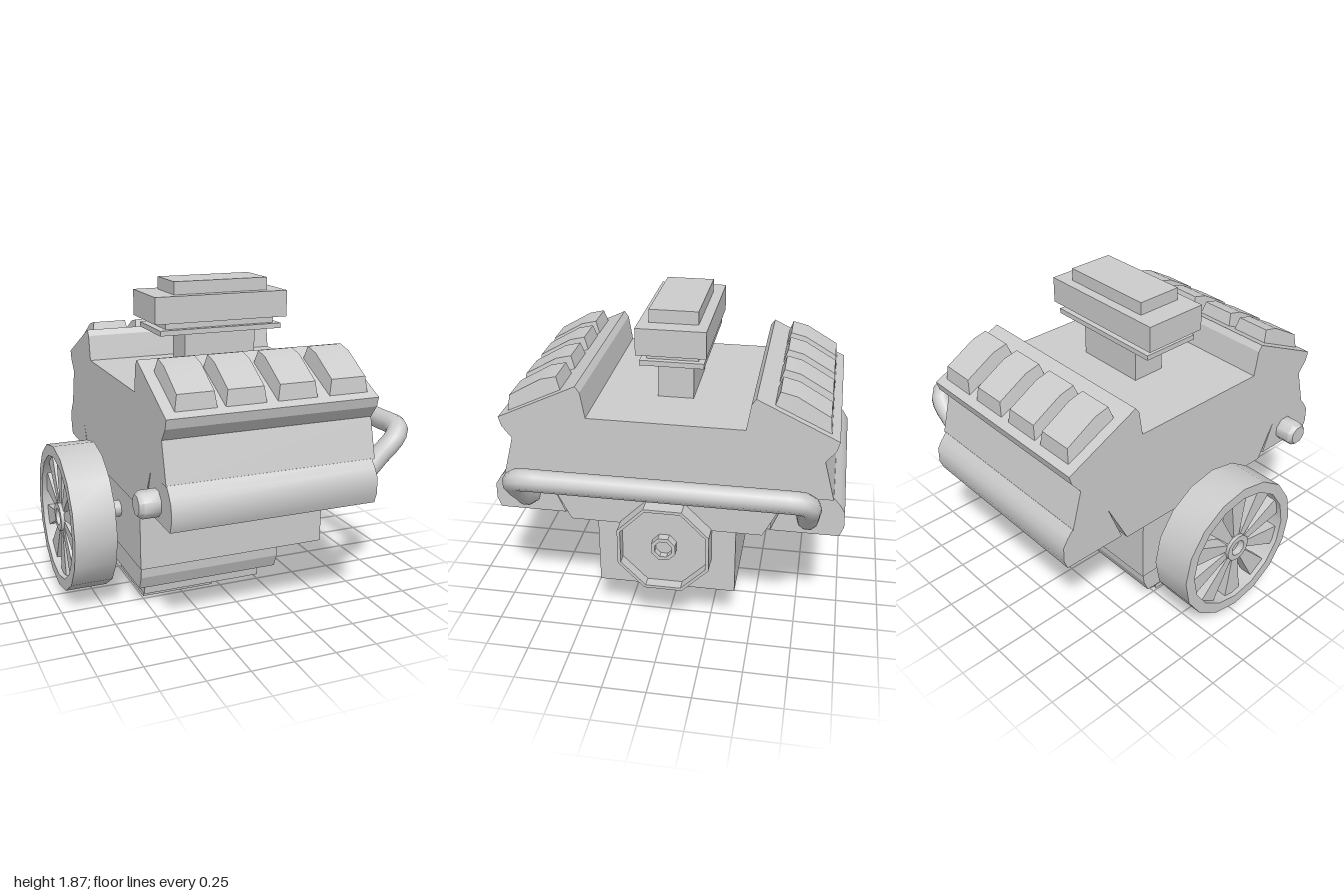
import * as THREE from 'three';
import { toCreasedNormals } from 'three/addons/utils/BufferGeometryUtils.js';

const material = new THREE.MeshStandardMaterial({ color: 0xcccccc });

function add(parent, name, geometry, crease = 0.6) {
  const mesh = new THREE.Mesh(toCreasedNormals(geometry, crease), material);
  mesh.name = name;
  parent.add(mesh);
  return mesh;
}

// Prism along x from a [z, y] outline
function prismX(outline, x0, x1) {
  const shape = new THREE.Shape(outline.map(([z, y]) => new THREE.Vector2(-z, y)));
  const geometry = new THREE.ExtrudeGeometry(shape, { depth: x1 - x0, bevelEnabled: false });
  return geometry.rotateY(Math.PI / 2).translate(x0, 0, 0);
}

// Outline symmetric about z = 0, given its +z half
const mirrored = (half) => [...half, ...half.map(([z, y]) => [-z, y]).reverse()];

// Turned part around the x axis from a [radius, x] profile
function turnedX(profile, sides, y, z, phase = 0) {
  const points = profile.map(([r, x]) => new THREE.Vector2(r, x));
  return new THREE.LatheGeometry(points, sides, phase).rotateZ(-Math.PI / 2).translate(0, y, z);
}

function box(x0, x1, y0, y1, halfZ) {
  return new THREE.BoxGeometry(x1 - x0, y1 - y0, halfZ * 2)
    .translate((x0 + x1) / 2, (y0 + y1) / 2, 0);
}

// Tapered bump lying on the sloping head cover
function bumpGeometry() {
  const top = [[0.61, 1.54], [0.70, 1.518], [0.885, 1.41]];
  const base = [[0.58, 1.45], [0.72, 1.38], [0.895, 1.30]];
  const geometry = new THREE.BoxGeometry(0.24, 1, 2, 1, 1, 2);
  const p = geometry.attributes.position;
  for (let i = 0; i < p.count; i++) {
    const up = p.getY(i) > 0;
    const [z, y] = (up ? top : base)[Math.round(p.getZ(i) + 1)];
    p.setXYZ(i, p.getX(i) * (up ? 0.86 : 1), y, z);
  }
  return geometry;
}

export function createModel() {
  const model = new THREE.Group();
  model.name = 'engine';

  // V-shaped upper body with both cylinder heads
  add(model, 'upperBody', prismX(mirrored([
    [0.55, 0.68], [0.685, 0.945], [0.93, 0.945], [0.87, 1.175], [0.925, 1.245],
    [0.94, 1.30], [0.49, 1.515], [0.465, 1.48], [0.44, 1.33],
  ]), -0.59, 0.635), 0.3);

  // Crankcase and stepped oil pan
  add(model, 'crankcase', box(-0.56, 0.61, 0.26, 0.69, 0.4));
  add(model, 'oilPan', prismX(mirrored([[0.35, 0.12], [0.385, 0.2], [0.39, 0.26]]), -0.555, 0.32), 0.2);
  add(model, 'oilPanStep', prismX(mirrored([[0.275, 0.04], [0.285, 0.12]]), -0.5, 0.24));
  add(model, 'oilPanBase', prismX(mirrored([[0.22, 0], [0.228, 0.04]]), -0.49, -0.045));

  // Exhaust manifolds and head cover bumps on both banks
  const manifold = [[0.59, 0.71], [0.975, 0.71], [0.998, 0.77], [0.996, 0.86],
    [0.965, 0.91], [0.93, 0.95], [0.685, 0.945], [0.61, 0.76]];
  for (const side of [1, -1]) {
    add(model, 'exhaustManifold',
      prismX(manifold.map(([z, y]) => [z * side, y]), -0.588, 0.617));
    for (const x of [-0.41, -0.13, 0.168, 0.473]) {
      const bump = add(model, 'headCoverBump', bumpGeometry(), 0.5);
      bump.position.x = x;
      bump.rotation.y = side > 0 ? 0 : Math.PI;
    }
  }

  // Intake and air filter stack
  const intake = new THREE.Group();
  intake.name = 'airIntake';
  model.add(intake);
  add(intake, 'intakeStem', box(-0.165, 0.28, 1.32, 1.57, 0.103));
  add(intake, 'intakeFlange', box(-0.345, 0.415, 1.57, 1.6, 0.18));
  add(intake, 'filterNeck', box(-0.3, 0.38, 1.6, 1.64, 0.145));
  add(intake, 'filterBox', box(-0.38, 0.445, 1.64, 1.795, 0.196));
  add(intake, 'filterLid', box(-0.245, 0.34, 1.795, 1.87, 0.138));

  // Fan wheel: rim, hub, blades and shaft
  const fan = new THREE.Group();
  fan.name = 'fan';
  fan.position.y = 0.5;
  model.add(fan);
  add(fan, 'fanRim', turnedX([[0.37, -0.95], [0.437, -0.95], [0.437, -0.705],
    [0.37, -0.705], [0.37, -0.95]], 16, 0, 0));
  add(fan, 'fanHub', turnedX([[0, -0.9], [0.05, -0.9], [0.05, -0.94], [0.085, -0.94],
    [0.085, -0.75], [0, -0.75]], 12, 0, 0));
  add(fan, 'fanShaft', turnedX([[0.05, -0.8], [0.05, -0.55]], 10, 0, 0), 0.8);
  const blades = 10;
  for (let i = 0; i < blades; i++) {
    const blade = add(fan, 'fanBlade', prismX(
      [[-0.02, 0.07], [0.02, 0.07], [0.065, 0.385], [-0.065, 0.385]], -0.92, -0.84));
    blade.rotation.x = (i / blades) * Math.PI * 2;
  }

  // Octagonal flywheel cup with a small ring at its centre
  add(model, 'flywheel', turnedX([[0.284, 0.6], [0.284, 0.735], [0.265, 0.735],
    [0.265, 0.67], [0.075, 0.67], [0.075, 0.72], [0.052, 0.72], [0.052, 0.68], [0, 0.68]],
  8, 0.58, 0, Math.PI / 8));

  // Exhaust outlet stub
  add(model, 'outletStub', turnedX([[0, -0.705], [0.058, -0.705], [0.077, -0.68],
    [0.077, -0.58]].map((p) => p), 8, 0.812, 0.78, Math.PI / 8), 0.8);

  // Crossover pipe joining both manifolds
  const half = [[0.59, 0.81, 0.795], [0.66, 0.83, 0.797], [0.75, 0.92, 0.802],
    [0.825, 0.995, 0.808], [0.87, 1.045, 0.785], [0.888, 1.06, 0.72], [0.888, 1.06, 0.6]];
  const path = [...half, ...half.map(([x, y, z]) => [x, y, -z]).reverse()]
    .map((p) => new THREE.Vector3(...p));
  add(model, 'crossoverPipe',
    new THREE.TubeGeometry(new THREE.CatmullRomCurve3(path), 60, 0.062, 10), 0.9);

  return model;
}
